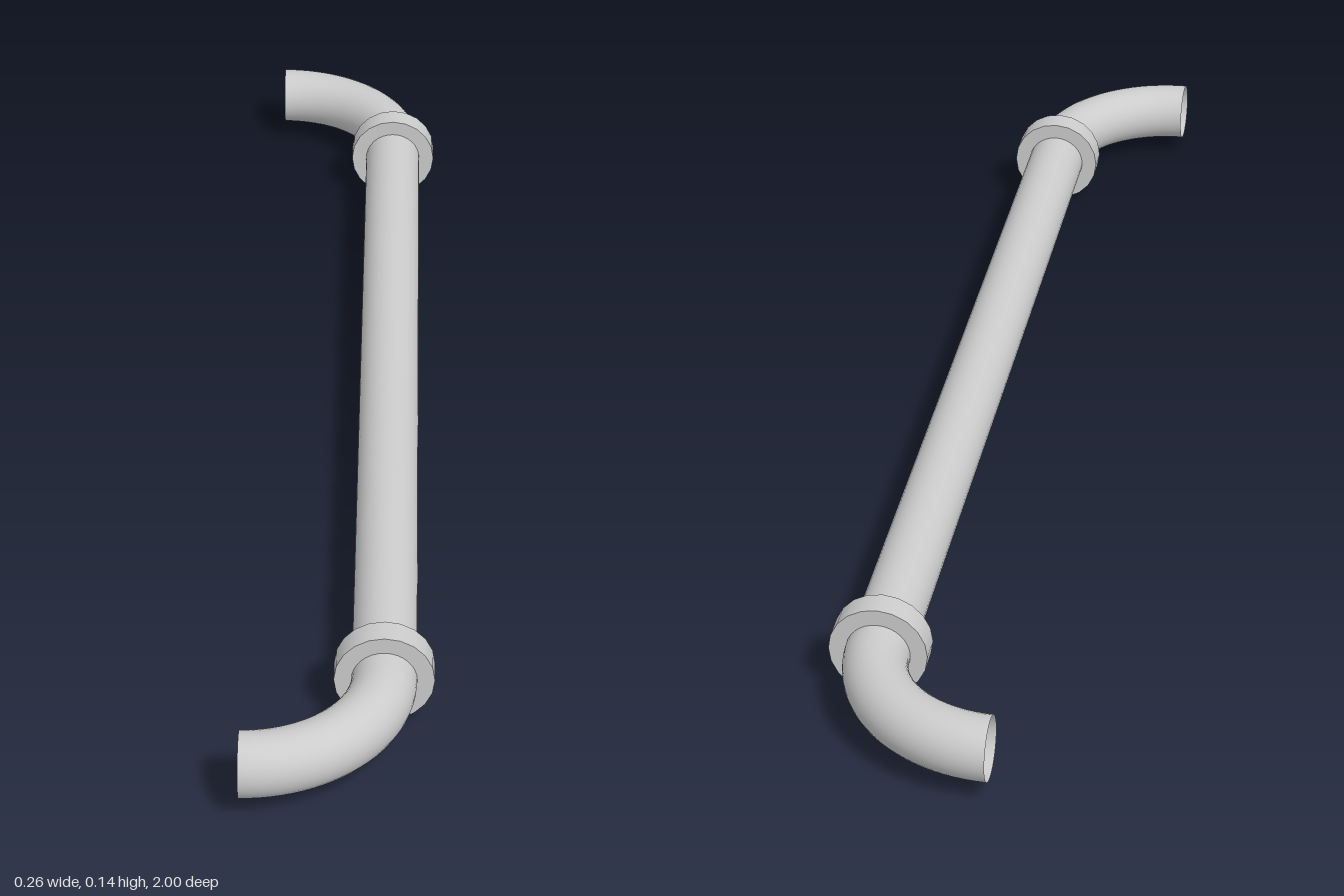
import * as THREE from 'three';

export function createModel() {
  const group = new THREE.Group();
  const material = new THREE.MeshStandardMaterial({ color: 0xcccccc, side: THREE.DoubleSide });

  const axisX = 0.061, axisY = 0.0695;     // pipe centre line
  const pipeRadius = 0.0455, collarRadius = 0.0697;
  const bendRadius = 0.192, bendZ = 0.762; // elbows start here

  const add = (name, geometry, x, z) => {
    const mesh = new THREE.Mesh(geometry, material);
    mesh.name = name;
    mesh.position.set(x, axisY, z);
    group.add(mesh);
  };

  // Straight open pipe
  const pipe = new THREE.CylinderGeometry(pipeRadius, pipeRadius, 2 * bendZ, 32, 1, true);
  add('straightPipe', pipe.rotateX(Math.PI / 2), axisX, 0);

  // Collar and open quarter-turn elbow at each end
  for (const [end, side] of [['front', 1], ['back', -1]]) {
    const collar = new THREE.CylinderGeometry(collarRadius, collarRadius, 0.04, 20);
    add(end + 'Collar', collar.rotateX(Math.PI / 2), axisX, side * 0.745);

    const elbow = new THREE.TorusGeometry(bendRadius, pipeRadius, 32, 24, Math.PI / 2);
    add(end + 'Elbow', elbow.rotateX(side * Math.PI / 2), axisX - bendRadius, side * bendZ);
  }
  return group;
}
